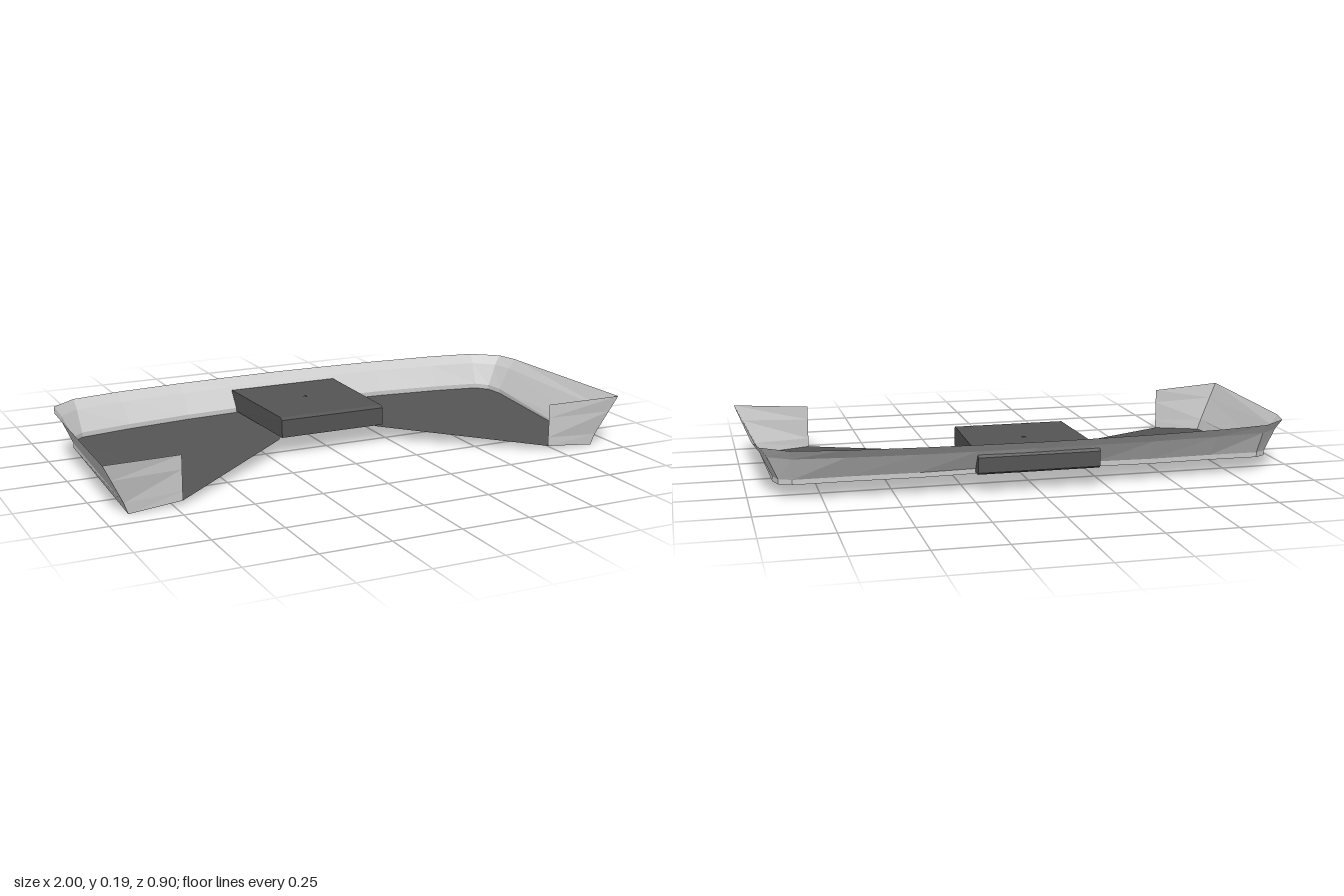
import * as THREE from 'three';

const grey = new THREE.MeshStandardMaterial({ color: 0xcccccc, side: THREE.DoubleSide, flatShading: true });
const dark = new THREE.MeshStandardMaterial({ color: 0x555555, side: THREE.DoubleSide, flatShading: true });

const mix = (a, b, t, ty = t) => [a[0] + (b[0] - a[0]) * t, a[1] + (b[1] - a[1]) * ty, a[2] + (b[2] - a[2]) * t];
const mirror = (path) => path.map(([x, y, z]) => [-x, y, z]);
// Half path from the centre outwards -> full path from right tip to left tip
const full = (half) => [...mirror(half.slice(1)).reverse(), ...half];

// Skin a surface over rows of equal length
function skin(rows) {
  const n = rows[0].length, index = [];
  for (let r = 0; r < rows.length - 1; r++) {
    for (let i = 0; i < n - 1; i++) {
      const a = r * n + i, b = a + 1, c = a + n, d = c + 1;
      index.push(a, c, b, b, c, d);
    }
  }
  const g = new THREE.BufferGeometry();
  g.setAttribute('position', new THREE.Float32BufferAttribute(rows.flat(2), 3));
  g.setIndex(index);
  g.computeVertexNormals();
  return g;
}

export function createModel() {
  const group = new THREE.Group();
  const add = (name, geometry, material) => {
    const mesh = new THREE.Mesh(geometry, material);
    mesh.name = name;
    group.add(mesh);
  };

  // Half outlines, centre to tip: floor edge, top of the small lip, flared rim
  const base = [[0, 0.066, -0.362], [0.22, 0.065, -0.362], [0.42, 0.062, -0.36], [0.66, 0.059, -0.342],
    [0.85, 0.054, -0.325], [0.895, 0.051, -0.29], [0.91, 0.047, -0.23], [0.91, 0, 0.415]];
  const rim = [[0, 0.187, -0.455], [0.22, 0.187, -0.449], [0.42, 0.187, -0.44], [0.68, 0.187, -0.418],
    [0.86, 0.187, -0.387], [0.955, 0.187, -0.31], [0.976, 0.187, -0.22], [1, 0.187, 0.45]];
  const lip = base.map(([x, y, z], i) => (i === 7 ? [0.925, 0.04, 0.418] : [x, y + 0.018, z]));
  const mid = lip.map((p, i) => mix(p, rim[i], 0.6, i === 7 ? 0.6 : 0.7));
  add('bumperWall', skin([base, lip, mid, rim].map(full)), grey);

  // Return panels closing the wall at both tips
  const outer = [base, lip, mid, rim].map((row) => row[7]);
  const inner = [0.017, 0.05, 0.125, 0.176].map((y) => [0.72, y, 0.41]);
  add('leftEndPanel', skin([outer, inner]), grey);
  add('rightEndPanel', skin([mirror(inner), mirror(outer)]), grey);

  // Floor tray: diagonal front edge, peaking at the centre
  const notch = [0.205, 0.056, 0.025], corner = [0.72, 0.017, 0.41];
  const front = [[0, 0.15, -0.19], notch, ...[0.2, 0.45, 0.7, 0.8, 0.9, 1].map((t) => mix(notch, corner, t))];
  add('floor', skin([full(front), full(base)]), dark);

  // Centre block: side profile extruded across, slightly wider at the back
  const profile = [[0.058, 0.072], [0.058, 0.138], [0.045, 0.146], [-0.4, 0.146], [-0.412, 0.132],
    [-0.412, 0.078], [-0.4, 0.07]];
  const shape = new THREE.Shape(profile.map(([z, y]) => new THREE.Vector2(-z, y)));
  const block = new THREE.ExtrudeGeometry(shape, { depth: 0.44, bevelEnabled: false });
  block.translate(0, 0, -0.22);
  block.rotateY(Math.PI / 2);
  const pos = block.attributes.position;
  for (let i = 0; i < pos.count; i++) {
    if (pos.getZ(i) > 0) pos.setX(i, pos.getX(i) * 0.94);
  }
  block.computeVertexNormals();
  add('centreBlock', block, dark);

  return group;
}
